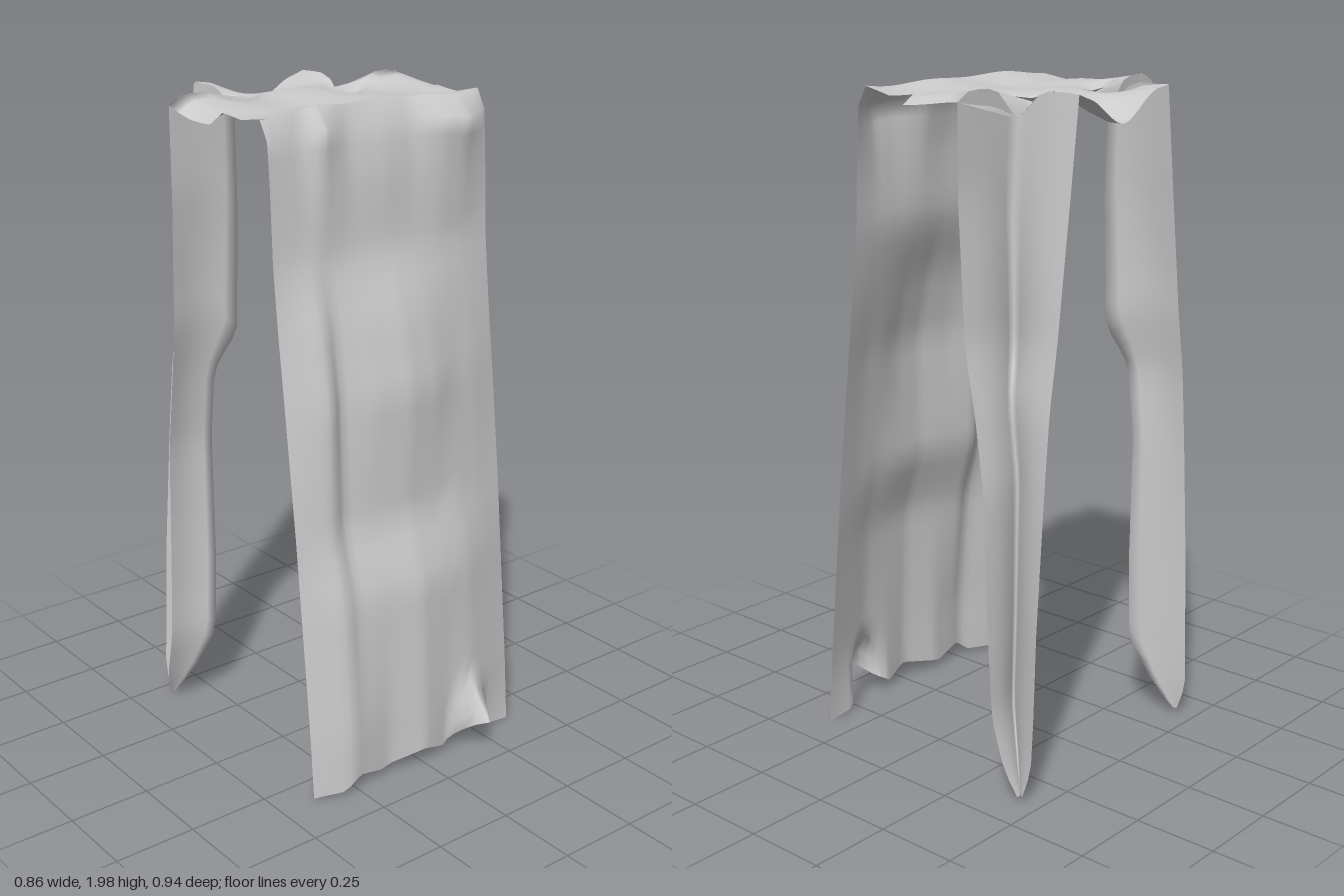
import * as THREE from 'three';

const material = new THREE.MeshStandardMaterial({ color: 0xcccccc, side: THREE.DoubleSide });
const { smoothstep, clamp } = THREE.MathUtils;

// linear interpolation through rows of [key, value, value...], keys ascending
function sample(rows, key) {
  let i = 0;
  while (i < rows.length - 2 && key > rows[i + 1][0]) i++;
  const a = rows[i], b = rows[i + 1];
  const t = clamp((key - a[0]) / (b[0] - a[0]), 0, 1);
  return a.slice(1).map((v, k) => v + (b[k + 1] - v) * t);
}

// sheet of cloth from a rule f(u, v) -> [x, y, z]
function sheet(name, nu, nv, f) {
  const pos = [], idx = [];
  for (let j = 0; j <= nv; j++) for (let i = 0; i <= nu; i++) pos.push(...f(i / nu, j / nv));
  for (let j = 0; j < nv; j++) for (let i = 0; i < nu; i++) {
    const a = j * (nu + 1) + i, b = a + nu + 1;
    idx.push(a, b, a + 1, b, b + 1, a + 1);
  }
  const g = new THREE.BufferGeometry();
  g.setAttribute('position', new THREE.Float32BufferAttribute(pos, 3));
  g.setIndex(idx);
  g.computeVertexNormals();
  const mesh = new THREE.Mesh(g, material);
  mesh.name = name;
  return mesh;
}

// rumpled top: raised rim and rear corners, dips at the corner creases and the middle of the back
function topHeight(x, z) {
  const ax = Math.abs(x);
  const rumple = 0.009 * Math.sin(x * 14 + z * 6) * Math.cos(z * 13 - x * 4);
  const rim = 0.02 * smoothstep(z, 0.03, 0.13);
  const rear = 0.032 * smoothstep(ax, 0.1, 0.3) * smoothstep(-z, 0.1, 0.3);
  const crease = 0.07 * Math.exp(-((ax - 0.2) ** 2 + (z + 0.26) ** 2) / 0.003);
  const middle = 0.07 * smoothstep(-z, 0.24, 0.45) * (1 - smoothstep(ax, 0, 0.15));
  return 1.955 + rumple + rim + rear - crease - middle - Math.max(0, ax - 0.385) * 0.6;
}

// front panel folds: depth z at each x of foldX, by height
const foldX = [-0.388, -0.27, -0.22, -0.12, 0, 0.1, 0.2, 0.28, 0.382];
const folds = [
  [0, 0.345, 0.39, 0.38, 0.365, 0.4, 0.375, 0.385, 0.345, 0.345],
  [0.2, 0.33, 0.385, 0.375, 0.365, 0.39, 0.375, 0.375, 0.355, 0.33],
  [0.6, 0.29, 0.35, 0.335, 0.35, 0.37, 0.36, 0.345, 0.32, 0.29],
  [0.8, 0.27, 0.3, 0.275, 0.29, 0.305, 0.3, 0.3, 0.29, 0.27],
  [1.18, 0.225, 0.29, 0.255, 0.29, 0.31, 0.3, 0.27, 0.255, 0.225],
  [1.38, 0.2, 0.25, 0.23, 0.25, 0.265, 0.255, 0.235, 0.22, 0.2],
  [1.57, 0.18, 0.19, 0.19, 0.19, 0.195, 0.195, 0.195, 0.19, 0.18],
  [1.8, 0.17, 0.17, 0.19, 0.175, 0.185, 0.18, 0.2, 0.2, 0.17],
  [1.93, 0.16, 0.15, 0.19, 0.15, 0.16, 0.16, 0.205, 0.215, 0.16]];
// ragged hem: [x, y]
const hem = [[-0.39, 0.005], [-0.3, 0.01], [-0.25, 0.05], [-0.15, 0.025], [0, 0.055], [0.08, 0.025],
  [0.14, 0.06], [0.18, 0.1], [0.22, 0.14], [0.25, 0.1], [0.28, 0.01], [0.38, 0]];

function frontPanel() {
  return sheet('frontPanel', 36, 36, (u, v) => {
    const x = -0.388 + 0.77 * u;
    const low = sample(hem, x)[0], high = topHeight(x, 0.13);
    const y = high + (low - high) * v;
    if (v === 0) return [x, y, 0.13];
    const row = sample(folds, y);
    const z = sample(foldX.map((fx, i) => [fx, row[i]]), x)[0];
    // curled point at the hem
    const curl = 0.1 * Math.max(0, 1 - Math.abs(x - 0.19) / 0.08) * Math.max(0, 1 - Math.abs(y - 0.115) / 0.09);
    return [x, y, z + curl];
  });
}

// top: [z, half width], narrow between the corner folds, wider over the sides
const outline = [[-0.47, 0.2], [-0.38, 0.2], [-0.33, 0.2], [-0.262, 0.2], [-0.25, 0.428],
  [-0.15, 0.425], [-0.051, 0.425], [-0.049, 0.385], [0.13, 0.385]];
const stops = [-0.47, -0.43, -0.38, -0.33, -0.3, -0.262, -0.25, -0.2, -0.15, -0.1, -0.051, -0.049, 0, 0.04, 0.09, 0.13];

function topCloth() {
  return sheet('topCloth', 32, stops.length - 1, (u, v) => {
    const z = stops[Math.round(v * (stops.length - 1))];
    const x = (u * 2 - 1) * sample(outline, z)[0];
    return [x, topHeight(x, z), z];
  });
}

// corner tail: [height, back edge x z, inward crease x z, side edge x z]
const tail = [
  [0.015, 0.38, -0.44, 0.375, -0.43, 0.39, -0.43],
  [0.1, 0.38, -0.47, 0.33, -0.38, 0.415, -0.4],
  [0.25, 0.37, -0.47, 0.28, -0.32, 0.42, -0.36],
  [0.5, 0.36, -0.47, 0.27, -0.32, 0.42, -0.345],
  [0.9, 0.33, -0.47, 0.27, -0.325, 0.42, -0.33],
  [1.12, 0.31, -0.47, 0.27, -0.3, 0.42, -0.3],
  [1.3, 0.28, -0.47, 0.21, -0.26, 0.425, -0.27],
  [1.7, 0.23, -0.47, 0.205, -0.25, 0.428, -0.25],
  [1.96, 0.2, -0.47, 0.2, -0.262, 0.428, -0.25]];

function cornerTail(name, side) {
  return sheet(name, 12, 36, (u, v) => {
    const [bx, bz, cx, cz, sx, sz] = sample(tail, 1.96 + (0.015 - 1.96) * v);
    const t = u < 0.5 ? u * 2 : u * 2 - 1;
    // soft swell of each arm of the fold, growing from the top downwards
    const swell = 0.07 * Math.hypot(sx - cx, sz - cz) * Math.sin(Math.PI * t) * smoothstep(v, 0, 0.3);
    const x = u < 0.5 ? bx + (cx - bx) * t + swell : cx + (sx - cx) * t;
    const z = u < 0.5 ? bz + (cz - bz) * t : cz + (sz - cz) * t - swell;
    const high = topHeight(x, z);
    return [side * x, high + (0.015 - high) * v, z];
  });
}

export function createModel() {
  const group = new THREE.Group();
  group.name = 'drapedCloth';
  group.add(topCloth(), frontPanel(), cornerTail('leftCornerTail', 1), cornerTail('rightCornerTail', -1));
  return group;
}
